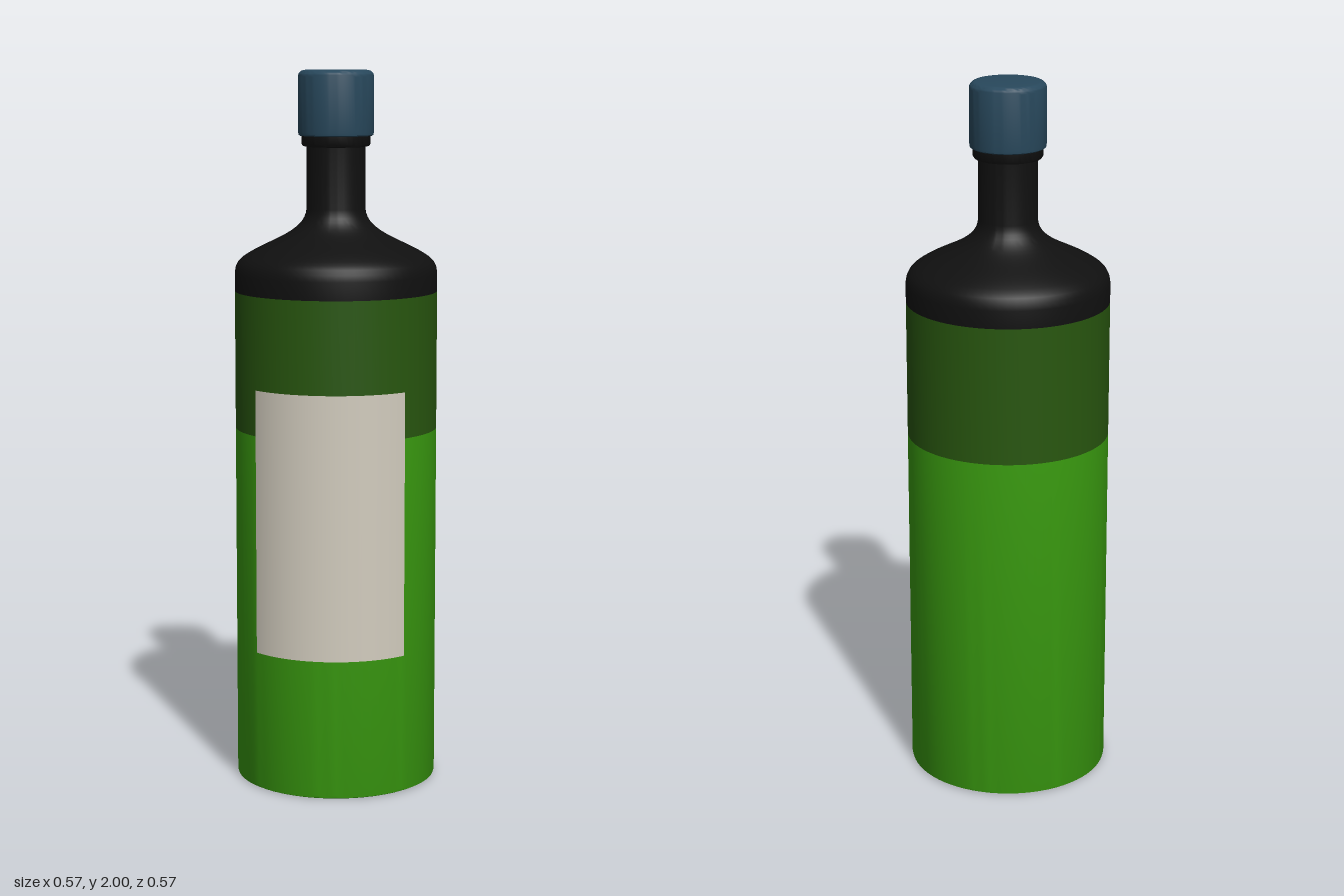
import * as THREE from 'three';
import { toCreasedNormals } from 'three/addons/utils/BufferGeometryUtils.js';

const R = 0.283; // body radius

function material(name, color) {
  const m = new THREE.MeshStandardMaterial({ color });
  m.name = name;
  return m;
}

// Revolve a profile of [radius, height] points, listed from bottom to top
function turned(name, profile, mat) {
  const points = profile.map(([r, y]) => new THREE.Vector2(r, y));
  const mesh = new THREE.Mesh(toCreasedNormals(new THREE.LatheGeometry(points, 72), 0.6), mat);
  mesh.name = name;
  return mesh;
}

export function createModel() {
  const green = material('bright green', 0x3a9c10);
  const darkGreen = material('dark green', 0x28560f);
  const black = material('black', 0x101010);
  const blue = material('slate blue', 0x28485c);
  const cream = material('cream', 0xd2ccbe);
  cream.side = THREE.DoubleSide;

  const bottle = new THREE.Group();
  bottle.name = 'bottle';

  // Filled lower body and the empty glass above it
  bottle.add(turned('lowerBody', [[0, 0], [R - 0.008, 0], [R - 0.002, 0.003], [R, 0.01], [R, 1.005]], green));
  bottle.add(turned('upperBody', [[R, 1.005], [R, 1.39]], darkGreen));

  // Shoulder sweeping into the neck, with a collar under the cap
  const sweep = new THREE.CubicBezierCurve(
    new THREE.Vector2(0.262, 1.483), new THREE.Vector2(0.2, 1.53),
    new THREE.Vector2(0.085, 1.55), new THREE.Vector2(0.082, 1.62));
  bottle.add(turned('shoulderAndNeck', [
    [R, 1.39], [R, 1.44], [0.28, 1.458], [0.273, 1.472],
    ...sweep.getPoints(16).map((p) => [p.x, p.y]),
    [0.082, 1.79], [0.092, 1.792], [0.096, 1.798], [0.096, 1.822], [0, 1.822],
  ], black));

  // Cap with a softened rim
  const cap = [[0, 1.82], [0.1, 1.82], [0.104, 1.823], [0.105, 1.83]];
  for (let i = 0; i <= 6; i++) {
    const a = (i / 6) * Math.PI / 2;
    cap.push([0.087 + 0.018 * Math.cos(a), 1.982 + 0.018 * Math.sin(a)]);
  }
  cap.push([0, 2]);
  bottle.add(turned('cap', cap, blue));

  // Paper label wrapped around the front
  const half = 0.806;
  const label = new THREE.Mesh(
    new THREE.CylinderGeometry(R + 0.002, R + 0.002, 0.74, 32, 1, true, -half, half * 2), cream);
  label.name = 'label';
  label.position.y = 0.763;
  bottle.add(label);

  return bottle;
}
